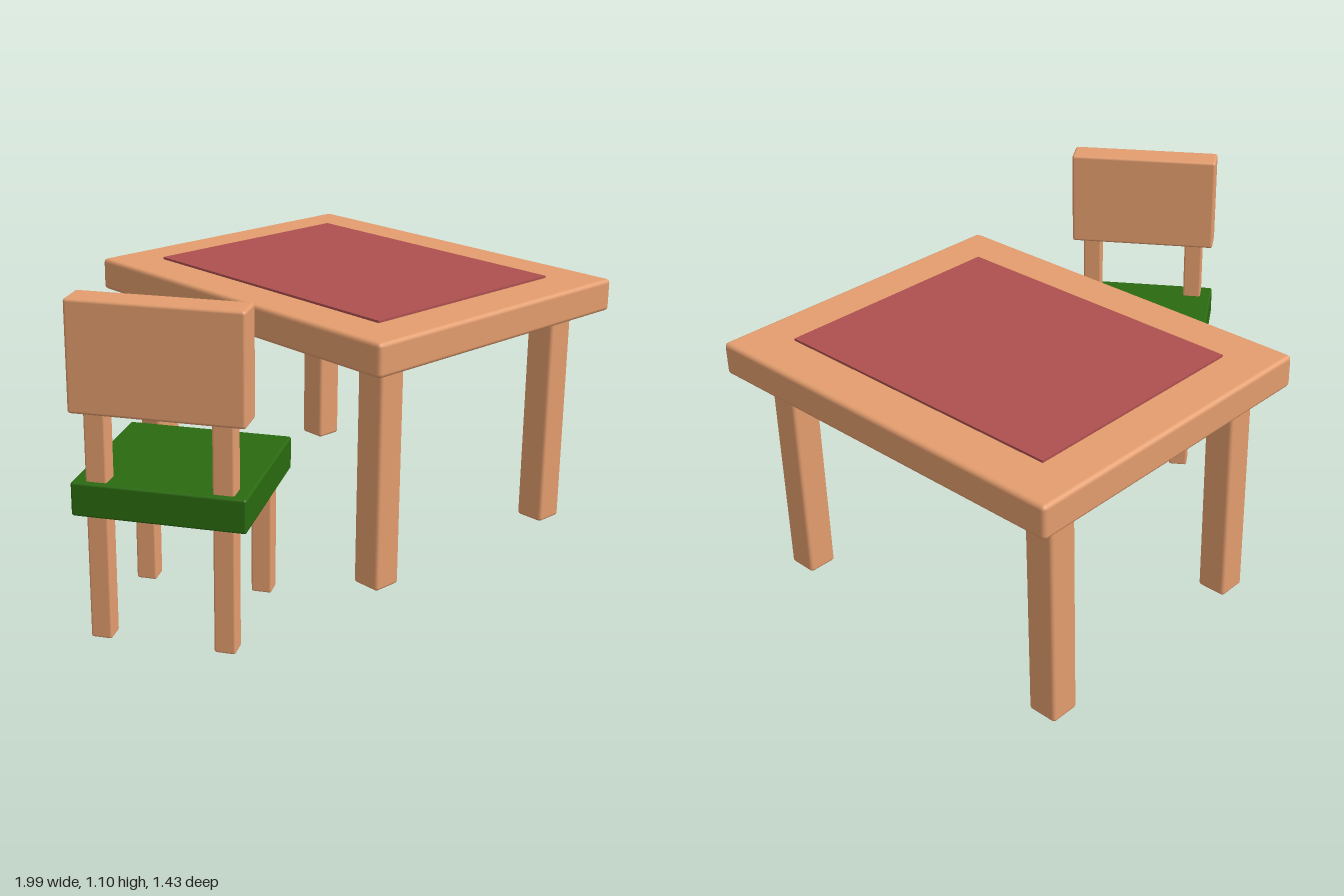
import * as THREE from 'three';
import { RoundedBoxGeometry } from 'three/addons/geometries/RoundedBoxGeometry.js';

const wood = new THREE.MeshStandardMaterial({ color: 0xe39d6e });
const green = new THREE.MeshStandardMaterial({ color: 0x2a6a10 });
const red = new THREE.MeshStandardMaterial({ color: 0xae5050 });

// Softened box given by its centre in plan, its size and its bottom and top heights
function slab(name, material, x, z, width, depth, bottom, top, radius) {
  const height = top - bottom;
  const geometry = radius
    ? new RoundedBoxGeometry(width, height, depth, 2, radius)
    : new THREE.BoxGeometry(width, height, depth);
  const mesh = new THREE.Mesh(geometry, material);
  mesh.name = name;
  mesh.position.set(x, bottom + height / 2, z);
  return mesh;
}

function createTable() {
  const table = new THREE.Group();
  table.name = 'table';
  table.add(slab('tableTop', wood, 0.413, 0, 1.166, 1.434, 0.785, 0.9, 0.015));
  table.add(slab('tableMat', red, 0.411, -0.002, 0.842, 1.112, 0.88, 0.908, 0));
  for (const x of [-0.023, 0.832])
    for (const z of [-0.583, 0.583])
      table.add(slab('tableLeg', wood, x, z, 0.105, 0.108, 0, 0.8, 0.012));
  return table;
}

// Built with its backrest at -x, then turned towards the table
function createChair() {
  const chair = new THREE.Group();
  chair.name = 'chair';
  chair.add(slab('seat', green, 0, 0, 0.552, 0.552, 0.415, 0.525, 0.008));
  chair.add(slab('backrest', wood, -0.222, 0, 0.108, 0.552, 0.745, 1.1, 0.01));
  for (const z of [-0.2, 0.2]) {
    chair.add(slab('frontLeg', wood, 0.21, z, 0.068, 0.068, 0, 0.43, 0.007));
    chair.add(slab('backLeg', wood, -0.222, z, 0.068, 0.068, 0, 0.43, 0.007));
    chair.add(slab('backPost', wood, -0.222, z, 0.068, 0.068, 0.51, 0.76, 0.007));
  }
  chair.position.set(-0.617, 0, 0.312);
  chair.rotation.y = 0.585;
  return chair;
}

export function createModel() {
  const model = new THREE.Group();
  model.name = 'tableAndChair';
  model.add(createTable(), createChair());
  return model;
}
